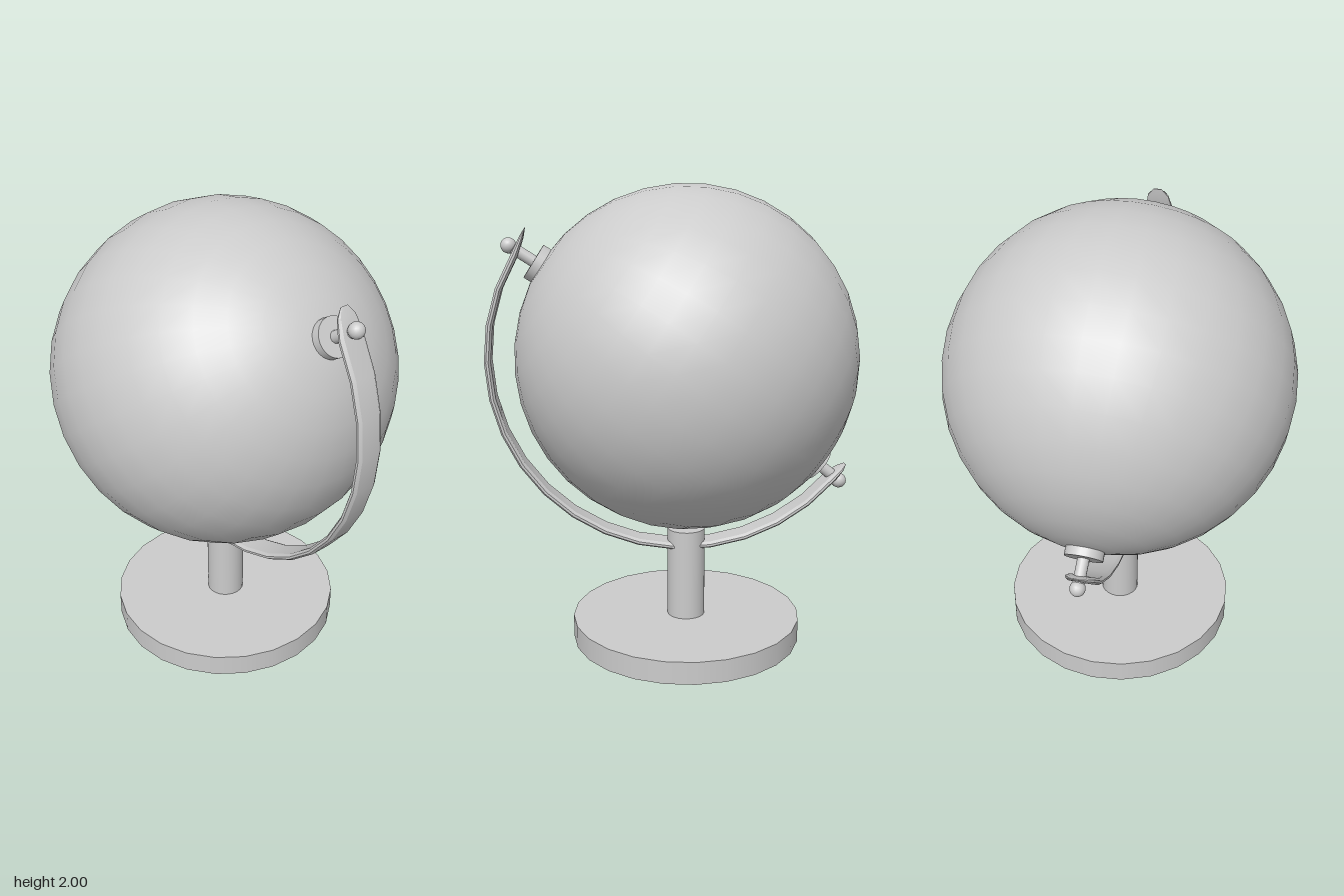
import * as THREE from 'three';
import { toCreasedNormals } from 'three/addons/utils/BufferGeometryUtils.js';

const CX = -0.06, CY = 1.27, R = 0.73, ARM_R = 0.84;
const rad = THREE.MathUtils.degToRad;
const material = new THREE.MeshStandardMaterial({ color: 0xcccccc });

function add(parent, name, geometry, x = 0, y = 0, z = 0) {
  const mesh = new THREE.Mesh(geometry, material);
  mesh.name = name;
  mesh.position.set(x, y, z);
  parent.add(mesh);
  return mesh;
}

// Curved strap: a chamfered flat section swept round the globe, tapering at both tips
function armGeometry() {
  const section = [[0.06, -0.005], [0.06, 0.005], [0.046, 0.014], [-0.046, 0.014],
    [-0.06, 0.005], [-0.06, -0.005], [-0.046, -0.014], [0.046, -0.014]];
  const n = section.length;
  // Stations: angle, radius, width scale, thickness scale
  const stations = [[-145.3, 0.856, 0.3, 0.1], [-143.5, 0.85, 0.7, 0.6]];
  const steps = 16;
  for (let i = 0; i <= steps; i++) stations.push([-140 + (i / steps) * 172, ARM_R, 1, 1]);
  stations.push([37, 0.856, 0.75, 0.6], [39.4, 0.867, 0.3, 0.1]);

  const pos = [], index = [];
  for (const [deg, r, w, t] of stations) {
    const a = rad(deg);
    for (const [z, u] of section) {
      pos.push(CX + Math.cos(a) * (r + u * t), CY + Math.sin(a) * (r + u * t), z * w);
    }
  }
  const last = (stations.length - 1) * n;
  for (let s = 0; s < last; s += n) {
    for (let j = 0; j < n; j++) {
      const a = s + j, b = s + (j + 1) % n;
      index.push(a, b, b + n, a, b + n, a + n);
    }
  }
  // End caps
  for (let j = 1; j < n - 1; j++) {
    index.push(0, j + 1, j, last, last + j, last + j + 1);
  }
  const g = new THREE.BufferGeometry();
  g.setAttribute('position', new THREE.Float32BufferAttribute(pos, 3));
  g.setIndex(index);
  return toCreasedNormals(g, rad(30));
}

// Pivot: washer against the globe, pin through the strap, round knob outside
function pivot(name, deg) {
  const g = new THREE.Group();
  g.name = name;
  g.position.set(CX, CY, 0);
  g.rotation.z = rad(deg - 90);
  add(g, 'washer', new THREE.CylinderGeometry(0.08, 0.08, 0.05, 24), 0, 0.735);
  add(g, 'pin', new THREE.CylinderGeometry(0.025, 0.025, 0.14, 16), 0, 0.81);
  add(g, 'knob', new THREE.SphereGeometry(0.033, 16, 12), 0, 0.88);
  return g;
}

export function createModel() {
  const model = new THREE.Group();
  model.name = 'globeOnStand';

  // Stand
  add(model, 'base', new THREE.CylinderGeometry(0.505, 0.505, 0.1, 24), CX, 0.05);
  add(model, 'post', new THREE.CylinderGeometry(0.083, 0.083, 0.41, 24), CX, 0.3);
  add(model, 'arm', armGeometry());

  // Globe tilted onto its pivots
  const globe = add(model, 'globe', new THREE.SphereGeometry(R, 32, 18), CX, CY);
  globe.rotation.z = rad(-54);
  model.add(pivot('upperPivot', 33), pivot('lowerPivot', -140.3));
  return model;
}
